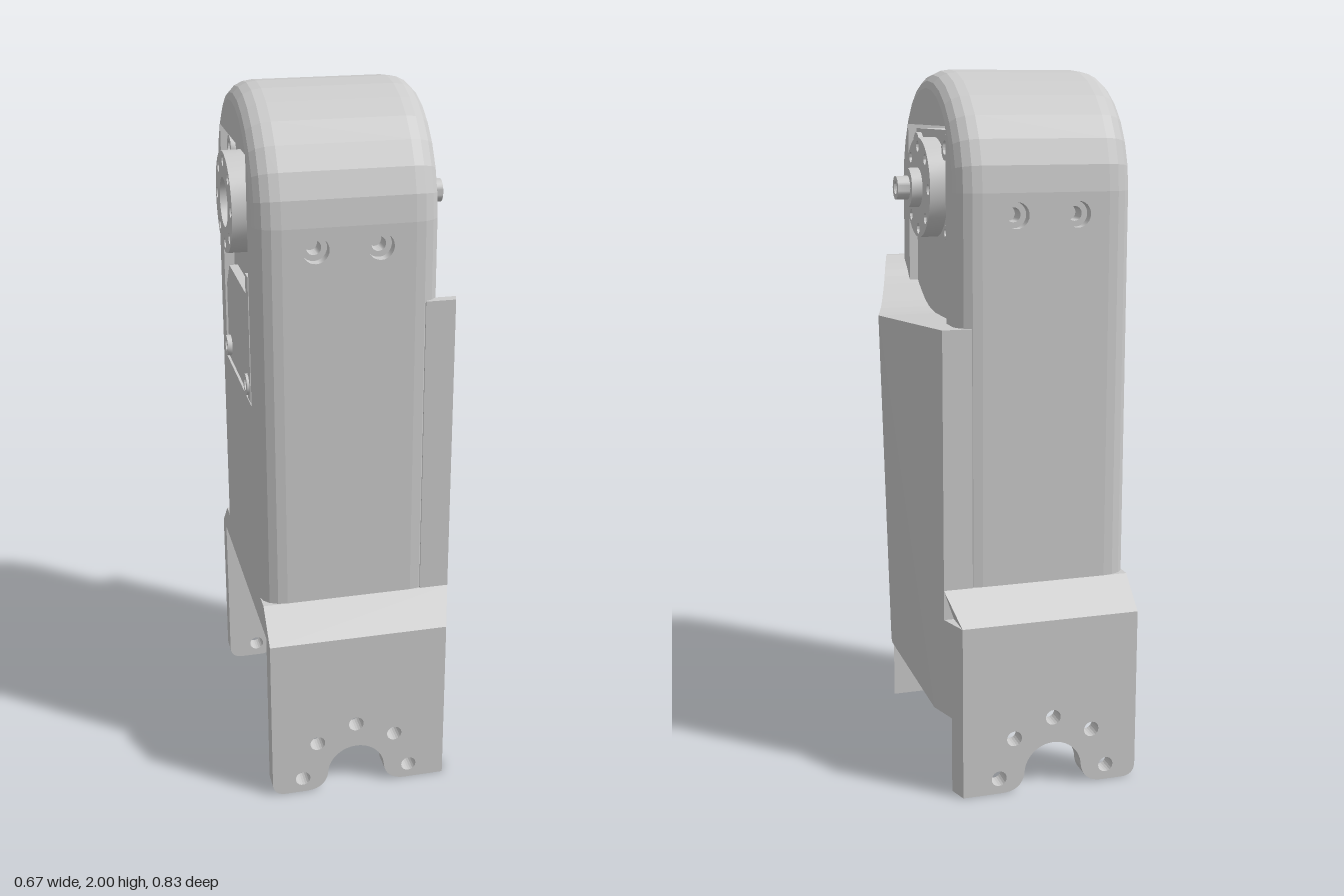
import * as THREE from 'three';
import { toCreasedNormals } from 'three/addons/utils/BufferGeometryUtils.js';
import { ConvexGeometry } from 'three/addons/geometries/ConvexGeometry.js';

const flat = new THREE.MeshStandardMaterial({ color: 0xcccccc, flatShading: true, side: THREE.DoubleSide });
const smooth = new THREE.MeshStandardMaterial({ color: 0xcccccc, side: THREE.DoubleSide });
const AXIS = 1.675, HALF = 0.325;   // joint height, half depth of the housing

function add(parent, name, geo, mat = flat, x = 0, y = 0, z = 0) {
  const m = new THREE.Mesh(geo, mat);
  m.name = name;
  m.position.set(x, y, z);
  parent.add(m);
  return m;
}

// Skin rows of points into a surface
function loft(rows, { closed = false, caps = false, skip = () => false } = {}) {
  const pos = [];
  const tri = (...ps) => ps.forEach(p => pos.push(p.x, p.y, p.z));
  const n = rows[0].length;
  for (let i = 0; i < rows.length - 1; i++) {
    for (let j = 0; j < (closed ? n : n - 1); j++) {
      if (skip(i, j)) continue;
      const k = (j + 1) % n, a = rows[i], b = rows[i + 1];
      tri(a[j], a[k], b[k]);
      tri(a[j], b[k], b[j]);
    }
  }
  if (caps) for (let j = 1; j < n - 1; j++) {
    const a = rows[0], b = rows[rows.length - 1];
    tri(a[0], a[j + 1], a[j]);
    tri(b[0], b[j], b[j + 1]);
  }
  const g = new THREE.BufferGeometry();
  g.setAttribute('position', new THREE.Float32BufferAttribute(pos, 3));
  g.computeVertexNormals();
  return g;
}

// Turned part whose axis points along local z; pts are [radius, height]
function turned(pts, seg = 24) {
  const g = new THREE.LatheGeometry(pts.map(p => new THREE.Vector2(...p)), seg).rotateX(Math.PI / 2);
  return toCreasedNormals(g, 0.6);
}

function circleHole(shape, x, y, r) {
  shape.holes.push(new THREE.Path().absarc(x, y, r, 0, Math.PI * 2, true));
}

// Arch outline of the housing, pulled in by an inset
function arch(inset) {
  const r = HALF - inset, pts = [new THREE.Vector2(-r, 0.5)];
  for (let i = 0; i <= 14; i++) {
    const a = Math.PI * (1 - i / 14);
    pts.push(new THREE.Vector2(r * Math.cos(a), AXIS + r * Math.sin(a)));
  }
  pts.push(new THREE.Vector2(r, 0.5));
  return pts;
}

const slant = z => 0.335 - 0.313 * Math.abs(z);   // plan line of the cover face

function housing(root) {
  const g = new THREE.Group();
  g.name = 'housing';
  root.add(g);
  const st = [];
  for (let i = 0; i <= 4; i++) {
    const a = i / 4 * Math.PI / 2;
    st.push([0.07 * (1 - Math.cos(a)), 0.05 * (1 - Math.sin(a))]);
  }
  const stations = [...st.map(([d, s]) => [-0.31 + d, s]), ...st.reverse().map(([d, s]) => [0.19 - d, s])];
  const rows = stations.map(([x, s]) => arch(s).map(p => new THREE.Vector3(x, p.y, p.x)));
  add(g, 'housingSkin', loft(rows, { skip: (i, j) => i === 4 && (j === 0 || j === 15) }));

  // Rectangular opening right through the housing
  const rect = [[0.21, 1.848], [-0.21, 1.848], [-0.21, 1.15], [0.21, 1.15]];
  add(g, 'openingWalls', loft([-0.31, 0.19].map(x => rect.map(([z, y]) => new THREE.Vector3(x, y, z))), { closed: true }));
  for (const s of [-1, 1]) {
    const face = new THREE.Shape(arch(0.05));
    face.holes.push(new THREE.Path(rect.map(p => new THREE.Vector2(...p))));
    const cap = add(g, 'housingEnd', new THREE.ShapeGeometry(face), flat, s > 0 ? 0.19 : -0.31);
    cap.rotation.y = s * Math.PI / 2;

    // Flat front and back walls with sunk screw holes
    const wall = new THREE.Shape([[-0.24, 0.5], [0.12, 0.5], [0.12, AXIS], [-0.24, AXIS]]
      .map(([x, y]) => new THREE.Vector2(s * x, y)));
    const side = new THREE.Group();
    side.name = s > 0 ? 'frontWall' : 'backWall';
    side.position.z = s * HALF;
    side.rotation.y = s > 0 ? 0 : Math.PI;
    g.add(side);
    for (const x of [-0.15, 0.025]) {
      circleHole(wall, s * x, 1.615, 0.036);
      add(side, 'screwHole', turned([[0, -0.08], [0.02, -0.08], [0.02, -0.03], [0.036, -0.03], [0.036, 0]]), smooth, s * x, 1.615);
    }
    add(side, 'wallPanel', new THREE.ShapeGeometry(wall, 12));
  }
}

// Ridged cover on the +x side, with a curved top edge
function cover(root) {
  const topCurve = new THREE.SplineCurve([[0, 1.315], [0.1, 1.33], [0.2, 1.38], [0.25, 1.425], [0.295, 1.455]]
    .map(p => new THREE.Vector2(...p))).getPoints(10);
  const section = (z, top) => {
    const kink = Math.min(top, Math.max(0.22, 0.22 + (0.085 - 0.313 * Math.abs(z)) / 0.0773));
    const cut = y => Math.min(slant(z), 0.25 + (y - 0.22) * 0.0773);
    return [[0.15, 0.22], [cut(0.22), 0.22], [slant(z), kink], [slant(z), top], [0.15, top]]
      .map(([x, y]) => new THREE.Vector3(x, y, z));
  };
  const tops = [[-0.36, 0.5], [-HALF, 0.5], [-HALF, 1.315], [-0.2716, 1.315],
    ...topCurve.map(p => [p.x, p.y]), [HALF, 1.455], [HALF, 0.5], [0.36, 0.5]];
  add(root, 'ridgedCover', loft(tops.map(([z, t]) => section(z, t)), { closed: true, caps: true }));
}

// Flared shoulder and the two fork plates
function fork(root) {
  const pts = [];
  for (const [z, y] of [[0.415, 0.5], [HALF, 0.585]])
    for (const s of [-1, 1]) pts.push(new THREE.Vector3(-0.31, y, s * z), new THREE.Vector3(slant(z), y, s * z));
  add(root, 'flaredShoulder', new ConvexGeometry(pts));

  const p = new THREE.Shape();
  p.moveTo(-0.27, 0);
  p.lineTo(-0.21, 0);
  p.quadraticCurveTo(-0.155, 0, -0.145, 0.05);
  p.absarc(-0.06, 0.05, 0.085, Math.PI, 0, true);
  p.quadraticCurveTo(0.035, 0, 0.09, 0);
  p.lineTo(0.21, 0);
  p.lineTo(0.21, 0.5);
  p.lineTo(-0.31, 0.5);
  p.lineTo(-0.31, 0.04);
  p.quadraticCurveTo(-0.31, 0, -0.27, 0);
  for (const [x, y] of [[-0.06, 0.21], [-0.175, 0.16], [0.055, 0.16], [-0.22, 0.045], [0.1, 0.045]]) circleHole(p, x, y, 0.022);
  for (const s of [-1, 1]) {
    const g = new THREE.ExtrudeGeometry(p, { depth: 0.055, bevelEnabled: false, curveSegments: 10 });
    g.translate(0, 0, s > 0 ? 0.36 : -0.415);
    const a = g.attributes.position;
    for (let i = 0; i < a.count; i++) if (a.getX(i) > 0.2) a.setX(i, slant(a.getZ(i)));
    g.computeVertexNormals();
    add(root, s > 0 ? 'frontForkPlate' : 'backForkPlate', g);
  }
}

// Drilled output disc, optionally with a bore in the middle
function disc(depth, bore) {
  const s = new THREE.Shape().absarc(0, 0, 0.14, 0, Math.PI * 2);
  for (let i = 0; i < 8; i++) circleHole(s, 0.115 * Math.cos(i * Math.PI / 4), 0.115 * Math.sin(i * Math.PI / 4), 0.015);
  if (bore) circleHole(s, 0, 0, bore);
  return toCreasedNormals(new THREE.ExtrudeGeometry(s, { depth, bevelEnabled: false, curveSegments: 16 }), 0.6);
}

function motor(root) {
  const g = new THREE.Group();
  g.name = 'motor';
  root.add(g);
  add(g, 'motorCase', new THREE.BoxGeometry(0.445, 0.685, 0.418), flat, -0.0575, 1.4935);
  const screw = r => turned([[0, 0.003], [r * 0.55, 0.003], [r * 0.55, 0.014], [r, 0.014], [r, 0]], 16);
  for (const s of [-1, 1]) {
    // Local z points outward from the motor case
    const side = new THREE.Group();
    side.name = s > 0 ? 'shaftSide' : 'idlerSide';
    side.position.x = s > 0 ? 0.165 : -0.28;
    side.rotation.y = s * Math.PI / 2;
    g.add(side);
    for (const m of [-1, 1]) {
      add(side, 'upperScrew', screw(0.035), smooth, m * 0.16, 1.79);
      add(side, 'smallScrew', screw(0.02), smooth, m * 0.16, 1.56);
      if (s < 0) add(side, 'lowerScrew', screw(0.03), smooth, m * 0.165, 1.2, 0.025);
    }
    if (s > 0) {
      add(side, 'outputDisc', disc(0.05), smooth, 0, AXIS);
      add(side, 'outputShaft', turned([[0.055, 0.05], [0.055, 0.08], [0.033, 0.08], [0.033, 0.115],
        [0.018, 0.115], [0.018, 0.1], [0, 0.1]]), smooth, 0, AXIS);
    } else {
      add(side, 'idlerDisc', disc(0.058, 0.068), smooth, 0, AXIS);
      const plate = new THREE.Shape([[-0.205, 1.155], [0.205, 1.155], [0.205, 1.38], [0.15, 1.45], [-0.15, 1.45], [-0.205, 1.38]]
        .map(q => new THREE.Vector2(...q)));
      add(side, 'lowerPlate', new THREE.ExtrudeGeometry(plate, { depth: 0.025, bevelEnabled: false }));
      add(side, 'edgeStrip', new THREE.BoxGeometry(0.04, 0.36, 0.034), flat, 0.188, 1.34, 0.015);
    }
  }
}

export function createModel() {
  const root = new THREE.Group();
  root.name = 'jointArm';
  housing(root);
  cover(root);
  fork(root);
  motor(root);
  return root;
}
